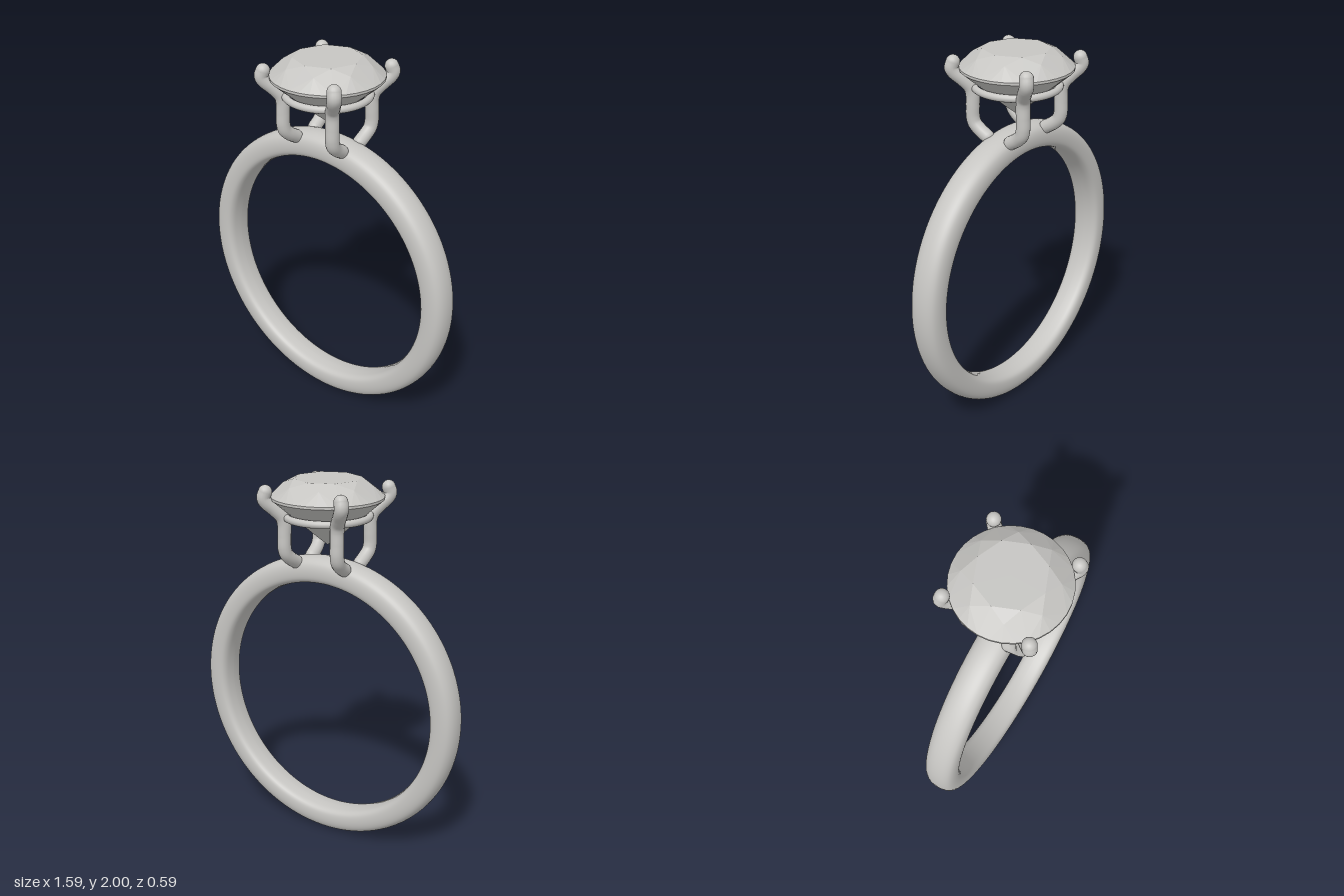
import * as THREE from 'three';

const V = (x, y, z) => new THREE.Vector3(x, y, z);

// Rounded band, slightly wider toward the setting
function bandGeometry() {
  const half = [[0.655, 0], [0.657, 0.35], [0.663, 0.7], [0.678, 0.92], [0.705, 1],
    [0.74, 0.98], [0.768, 0.85], [0.785, 0.6], [0.793, 0.3], [0.795, 0]];
  const loop = [
    ...half.map(([r, w]) => V(r, -w * 0.084, 0)),
    ...half.slice(1, -1).reverse().map(([r, w]) => V(r, w * 0.084, 0)),
  ];
  const curve = new THREE.CatmullRomCurve3(loop, true);
  const profile = curve.getPoints(48).map(p => new THREE.Vector2(p.x, p.y));
  const geo = new THREE.LatheGeometry(profile, 128);
  geo.rotateX(Math.PI / 2);
  geo.translate(0, 0.795, 0);
  const pos = geo.attributes.position;
  for (let i = 0; i < pos.count; i++) {
    pos.setZ(i, pos.getZ(i) * (0.92 + 0.17 * pos.getY(i) / 1.59));
  }
  return geo;
}

// Round brilliant cut with flat facets
function gemGeometry() {
  const verts = [];
  const centre = V(0, 1.87, 0);
  const at = (step, r, y) => { // step counts 32nds of a turn
    const a = step * Math.PI / 16;
    return V(r * Math.cos(a), y, r * Math.sin(a));
  };
  const tri = (a, b, c) => {
    const n = b.clone().sub(a).cross(c.clone().sub(a));
    const out = a.clone().add(b).add(c).divideScalar(3).sub(centre);
    const order = n.dot(out) > 0 ? [a, b, c] : [a, c, b];
    order.forEach(p => verts.push(p.x, p.y, p.z));
  };
  const top = V(0, 2, 0), culet = V(0, 1.652, 0);
  const table = s => at(s, 0.176, 2);
  const star = s => at(s, 0.23, 1.971);
  const upper = s => at(s, 0.293, 1.91);
  const lower = s => at(s, 0.293, 1.897);
  const pavilion = s => at(s, 0.07, 1.707);
  for (let s = 0; s < 32; s += 4) {
    // table and star facets
    tri(top, table(s), table(s + 4));
    tri(table(s), table(s + 4), star(s + 2));
    // crown and pavilion kites
    for (const d of [-2, 2]) {
      tri(table(s), star(s + d), upper(s));
      tri(culet, pavilion(s + d), lower(s));
    }
    // girdle with the half facets above and below it
    for (let k = s; k < s + 4; k++) {
      tri(star(s + 2), upper(k), upper(k + 1));
      tri(pavilion(s + 2), lower(k), lower(k + 1));
      tri(upper(k), lower(k), lower(k + 1));
      tri(upper(k), lower(k + 1), upper(k + 1));
    }
  }
  const geo = new THREE.BufferGeometry();
  geo.setAttribute('position', new THREE.Float32BufferAttribute(verts, 3));
  geo.computeVertexNormals();
  return geo;
}

// Bent claw with rounded ends
function makeProng(sx, sz, material) {
  const prong = new THREE.Group();
  const path = [[0.15, 1.557, 0.075], [0.153, 1.585, 0.12], [0.158, 1.615, 0.15],
    [0.16, 1.65, 0.16], [0.16, 1.71, 0.16], [0.16, 1.775, 0.16], [0.168, 1.81, 0.168],
    [0.195, 1.85, 0.195], [0.224, 1.888, 0.226], [0.232, 1.91, 0.234], [0.225, 1.94, 0.228]]
    .map(([x, y, z]) => V(x * sx, y, z * sz));
  const curve = new THREE.CatmullRomCurve3(path);
  prong.add(new THREE.Mesh(new THREE.TubeGeometry(curve, 56, 0.036, 16), material));
  for (const p of [path[0], path[path.length - 1]]) {
    const cap = new THREE.Mesh(new THREE.SphereGeometry(0.036, 16, 12), material);
    cap.position.copy(p);
    prong.add(cap);
  }
  return prong;
}

export function createModel() {
  const model = new THREE.Group();
  model.name = 'solitaireRing';
  const silver = new THREE.MeshStandardMaterial({ color: 0xc6c5c2 });
  silver.name = 'silver';

  const add = (name, object) => {
    object.name = name;
    model.add(object);
    return object;
  };

  add('band', new THREE.Mesh(bandGeometry(), silver));
  add('gemstone', new THREE.Mesh(gemGeometry(), silver));

  // Thin gallery rail joining the prongs under the stone
  const rail = add('galleryRail', new THREE.Mesh(new THREE.TorusGeometry(0.217, 0.019, 16, 72), silver));
  rail.rotation.x = Math.PI / 2;
  rail.position.y = 1.806;

  for (const sx of [-1, 1]) {
    for (const sz of [-1, 1]) {
      add(`${sz > 0 ? 'front' : 'back'}${sx > 0 ? 'Left' : 'Right'}Prong`, makeProng(sx, sz, silver));
    }
  }
  return model;
}
